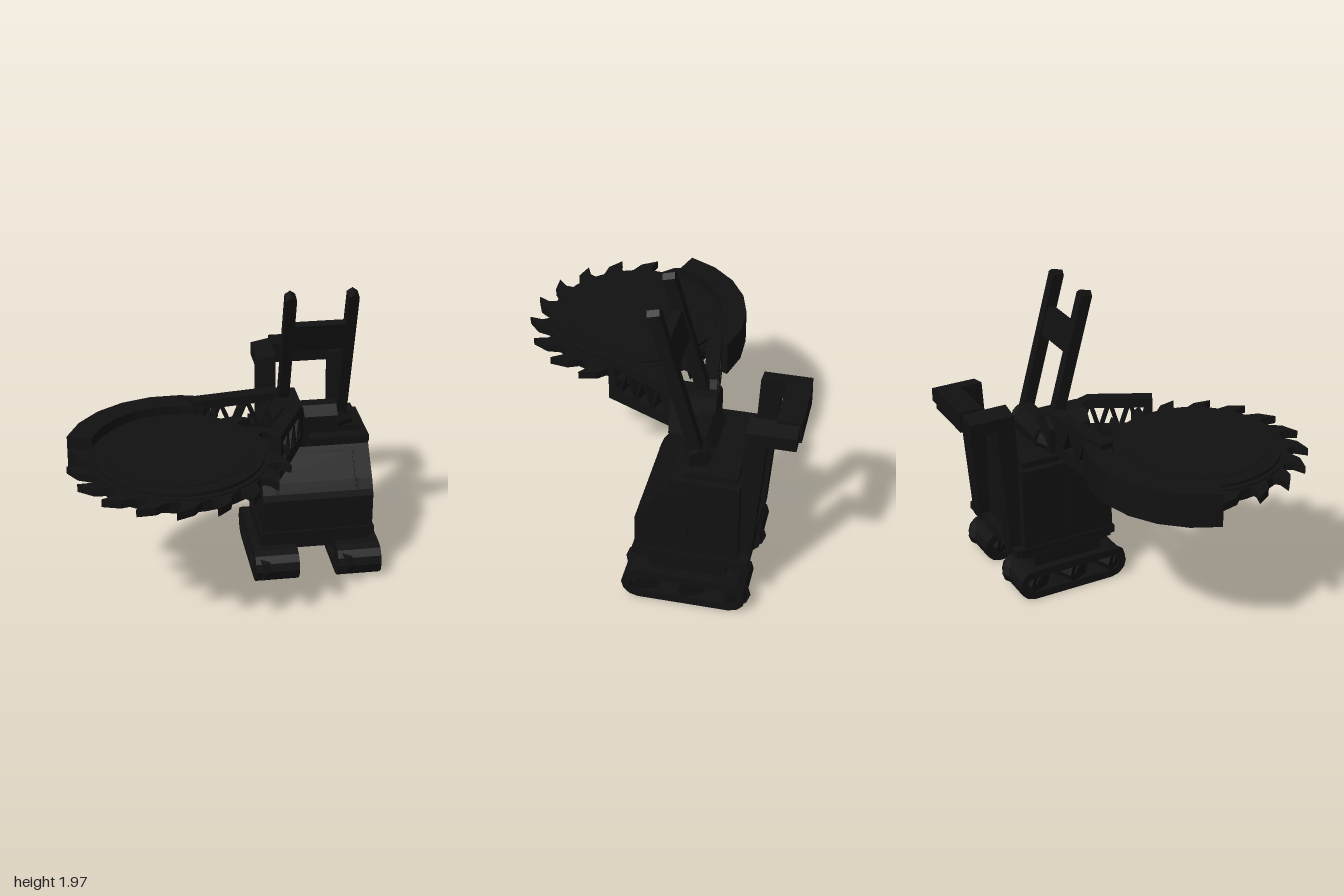
import * as THREE from 'three';

const mat = new THREE.MeshStandardMaterial({ color: 0x111111, flatShading: true, side: THREE.DoubleSide });
const CX = 0.59; // centre line of the vehicle

function add(parent, name, geo) {
  const m = new THREE.Mesh(geo, mat);
  m.name = name;
  parent.add(m);
  return m;
}
const poly = (pts, T = THREE.Shape) => new T(pts.map(p => new THREE.Vector2(p[0], p[1])));
const extrude = (shape, depth) => new THREE.ExtrudeGeometry(shape, { depth, bevelEnabled: false });

// Box from min/max extents
function box(x0, x1, y0, y1, z0, z1) {
  return new THREE.BoxGeometry(x1 - x0, y1 - y0, z1 - z0).translate((x0 + x1) / 2, (y0 + y1) / 2, (z0 + z1) / 2);
}
// Side profile in (z, y), extruded between x0 and x1
function side(shape, x0, x1) {
  return extrude(shape, x1 - x0).rotateY(-Math.PI / 2).translate(x1, 0, 0);
}
// Plan outline in (x, z), extruded between y0 and y1
function plan(shape, y0, y1) {
  return extrude(shape, y1 - y0).rotateX(Math.PI / 2).translate(0, y1, 0);
}
// Lying cylinder along x
function axle(x0, x1, y, z, r, n) {
  return new THREE.CylinderGeometry(r, r, x1 - x0, n).rotateX(Math.PI / n).rotateZ(Math.PI / 2).translate((x0 + x1) / 2, y, z);
}
// Rounded track outline of radius r about two end wheels
function trackLoop(r) {
  const pts = [];
  for (let i = 0; i <= 6; i++) {
    const a = -Math.PI / 2 + i * Math.PI / 6;
    pts.push([-0.045 + r * Math.cos(a), 0.105 + r * Math.sin(a)]);
  }
  return pts.concat(pts.map(([z, y]) => [-0.645 - z, 0.21 - y]));
}

function buildTracks(g) {
  for (const s of [-1, 1]) {
    const c = CX + s * 0.27;
    const shape = poly(trackLoop(0.105));
    shape.holes.push(poly(trackLoop(0.052), THREE.Path));
    add(g, 'trackBelt', side(shape, c - 0.143, c + 0.143));
    for (const z of [-0.045, -0.3225, -0.6]) {
      add(g, 'trackWheel', axle(c - 0.13, c + 0.13, 0.105, z, 0.085, 8));
      add(g, 'wheelHub', axle(c - 0.14, c + 0.14, 0.105, z, 0.045, 8));
    }
  }
  add(g, 'chassis', box(0.23, 0.94, 0.18, 0.3, -0.57, -0.1));
}

function buildCab(g) {
  add(g, 'lowerDeck', box(0.24, 0.94, 0.28, 0.32, -0.65, -0.02));
  add(g, 'deckFlange', box(0.22, 0.955, 0.31, 0.36, -0.7, 0));
  add(g, 'cabBody', side(poly([[-0.015, 0.34], [-0.015, 0.58], [-0.03, 0.62], [-0.07, 0.68],
    [-0.22, 0.855], [-0.22, 0.9], [-0.64, 0.9], [-0.64, 0.34]]), 0.23, 0.945));
  add(g, 'roofRim', box(0.225, 0.95, 0.86, 0.91, -0.64, -0.225));
  add(g, 'roofPlate', box(0.27, 0.91, 0.9, 0.95, -0.62, -0.3));
  // Raised frame around the sloping front window
  const slope = [[-0.025, 0.62], [-0.065, 0.69], [-0.2, 0.845], [-0.215, 0.835], [-0.08, 0.68], [-0.04, 0.61]];
  for (const x of [0.325, 0.845]) add(g, 'windowFrameSide', side(poly(slope), x - 0.012, x + 0.012));
  add(g, 'windowFrameTop', side(poly([[-0.18, 0.82], [-0.2, 0.845], [-0.22, 0.835], [-0.2, 0.81]]), 0.325, 0.845));
  // Side window panels
  for (const [x0, x1] of [[0.223, 0.24], [0.935, 0.952]]) {
    add(g, 'sidePanel', side(poly([[-0.09, 0.46], [-0.09, 0.65], [-0.23, 0.81], [-0.34, 0.81], [-0.34, 0.46]]), x0, x1));
  }
}

function buildRearFrame(g) {
  const post = [[-0.6, 0.31], [-0.705, 0.31], [-0.775, 1.2], [-0.945, 1.2], [-0.945, 1.31], [-0.655, 1.31]];
  for (const s of [-1, 1]) {
    const c = CX + s * 0.24;
    const geo = side(poly(post), c - 0.06, c + 0.06);
    // Chamfer the outer top edge
    const p = geo.attributes.position;
    for (let i = 0; i < p.count; i++) {
      if (p.getY(i) > 1.3 && (p.getX(i) - c) * s > 0) p.setY(i, 1.285);
    }
    geo.computeVertexNormals();
    add(g, 'rearPost', geo);
  }
  add(g, 'rearCrossbar', box(0.41, 0.79, 1.19, 1.325, -0.96, -0.81));
}

function buildMast(g) {
  const mast = new THREE.Group();
  mast.name = 'mast';
  mast.position.set(CX, 0.965, -0.37);
  mast.rotation.x = 0.265;
  g.add(mast);
  for (const x of [-0.1925, 0.1925]) {
    add(mast, 'mastPost', extrude(poly([[x - 0.033, 0], [x + 0.033, 0], [x + 0.033, 1.01], [x, 1.035], [x - 0.033, 1.01]]), 0.075)
      .translate(0, 0, -0.0375));
    add(g, 'mastFoot', axle(CX + x - 0.055, CX + x + 0.055, 0.99, -0.36, 0.07, 8));
  }
  add(mast, 'mastCrossbar', box(-0.17, 0.17, 0.61, 0.8, -0.025, 0.025));
  add(g, 'mastBase', side(poly([[-0.27, 0.93], [-0.27, 1.04], [-0.32, 1.1], [-0.4, 1.1], [-0.46, 1.02], [-0.44, 0.93]]), 0.43, 0.75));
}

// Lattice beam between two plan points, with triangular openings
function truss(g, name, x0, z0, x1, z1, width) {
  const dx = x1 - x0, dz = z1 - z0, L = Math.hypot(dx, dz);
  const shape = poly([[0, 0.94], [L, 0.92], [L, 1.22], [0.1, 1.22], [0.02, 1.18]]);
  const n = 6, start = 0.08, step = (L - start - 0.05) / n;
  for (let i = 0; i < n; i++) {
    const a = start + i * step, mid = a + step / 2, w = step * 0.72;
    const [tip, base] = i % 2 ? [1.01, 1.16] : [1.16, 1.01];
    shape.holes.push(poly([[mid - w, base], [mid + w, base], [mid, tip]], THREE.Path));
  }
  const m = add(g, name, extrude(shape, width).translate(0, 0, -width / 2));
  m.position.set(x0, 0, z0);
  m.rotation.y = Math.atan2(-dz, dx);
}

function buildArms(g) {
  truss(g, 'rearArm', 0.45, -0.355, -0.195, -0.27, 0.085);
  truss(g, 'frontArm', 0.47, -0.17, 0.24, 0.285, 0.085);
  add(g, 'armPivot', extrude(poly([[0.3, 0.93], [0.3, 1.12], [0.36, 1.19], [0.49, 1.19], [0.55, 0.93]]), 0.28)
    .translate(0, 0, -0.41));
}

function buildSaw(g) {
  const saw = new THREE.Group();
  saw.name = 'saw';
  saw.position.set(-0.335, 0, 0.275);
  g.add(saw);
  const polar = (deg, r) => [r * Math.cos(deg * Math.PI / 180), r * Math.sin(deg * Math.PI / 180)];
  // Toothed blade
  const pts = [];
  for (let i = 0; i < 18; i++) {
    const a = 18 + i * 20;
    pts.push(polar(a - 15, 0.555), polar(a - 9, 0.63), polar(a, 0.68), polar(a - 2.5, 0.6), polar(a - 1, 0.555));
  }
  add(saw, 'toothedBlade', plan(poly(pts), 1.06, 1.11));
  // Stepped discs around the blade: radius, bottom, top
  const discs = [[0.545, 1.03, 1.12], [0.515, 1.02, 1.14], [0.43, 1.0, 1.145], [0.32, 0.97, 1.04], [0.13, 0.95, 1.04]];
  for (const [r, y0, y1] of discs) {
    add(saw, 'disc', new THREE.CylinderGeometry(r, r, y1 - y0, 36).translate(0, (y0 + y1) / 2, 0));
  }
  // Curved guard over the rear of the blade
  const outer = [], inner = [], n = 6;
  for (let i = 0; i <= n; i++) {
    const a = 198 + i * 95 / n;
    outer.push(polar(a, 0.695));
    inner.unshift(polar(a, 0.54));
  }
  add(saw, 'bladeGuard', plan(poly(outer.concat(inner)), 0.965, 1.185));
}

export function createModel() {
  const g = new THREE.Group();
  g.name = 'trackedSawMachine';
  for (const build of [buildTracks, buildCab, buildRearFrame, buildMast, buildArms, buildSaw]) build(g);
  return g;
}
